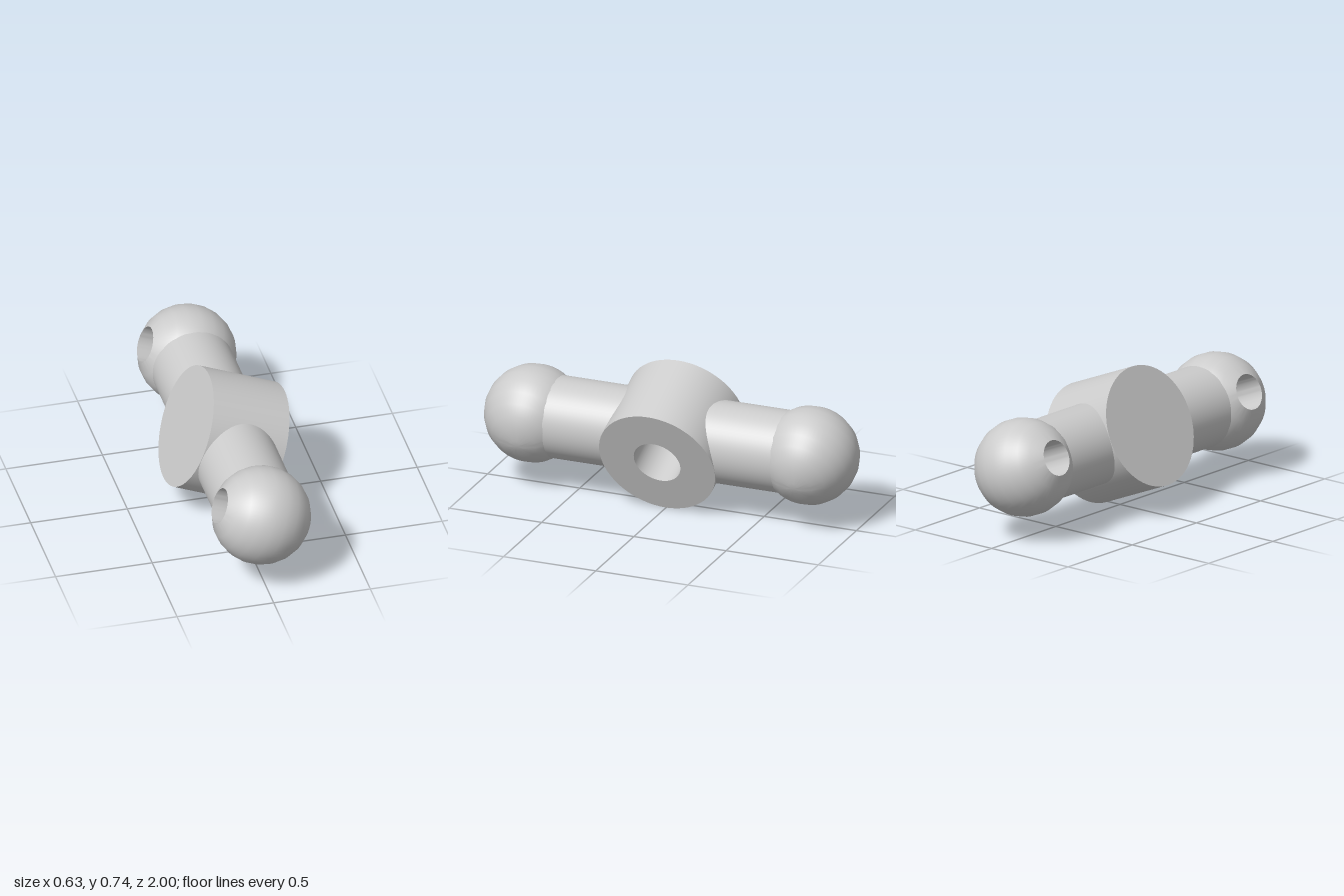
import * as THREE from 'three';
import { toCreasedNormals } from 'three/addons/utils/BufferGeometryUtils.js';

const material = new THREE.MeshStandardMaterial({ color: 0xcccccc });

// Turned solid from [radius, height] pairs, listed from bottom to top
function turned(name, profile) {
  const points = profile.map(([r, y]) => new THREE.Vector2(r, y));
  const mesh = new THREE.Mesh(toCreasedNormals(new THREE.LatheGeometry(points, 64), 0.6), material);
  mesh.name = name;
  return mesh;
}

export function createModel() {
  const model = new THREE.Group();
  model.name = 'doubleBallJoint';

  // Tilted frame: local y is the common axis of the hub and the holes
  const joint = new THREE.Group();
  joint.name = 'joint';
  joint.position.y = 0.3715;
  joint.rotation.z = THREE.MathUtils.degToRad(67.5);
  model.add(joint);

  // Hub with a blind hole in its lower end
  const R = 0.311, H = 0.212, holeR = 0.125, holeDepth = 0.26;
  joint.add(turned('hub', [
    [0, -H + holeDepth], [holeR, -H + holeDepth], [holeR, -H], [R, -H], [R, H], [0, H],
  ]));

  // Ball profile: sphere from the closed pole to the rim, then down a blind hole
  const ballR = 0.25, rimR = 0.0915;
  const ballProfile = [[0, -ballR]];
  for (let deg = 172.5; deg > 30; deg -= 15) {
    const a = THREE.MathUtils.degToRad(deg);
    ballProfile.push([ballR * Math.sin(a), ballR * Math.cos(a)]);
  }
  ballProfile.push([rimR, Math.sqrt(ballR ** 2 - rimR ** 2)], [rimR, 0], [0, 0]);

  // Arm and ball on each side
  for (const [side, s] of [['front', 1], ['back', -1]]) {
    const arm = new THREE.Mesh(new THREE.CylinderGeometry(0.21, 0.21, 0.43, 64, 1, true), material);
    arm.name = side + 'Arm';
    arm.rotation.x = Math.PI / 2;
    arm.position.z = s * 0.415;

    const ball = turned(side + 'Ball', ballProfile);
    ball.position.z = s * 0.75;
    joint.add(arm, ball);
  }
  return model;
}
